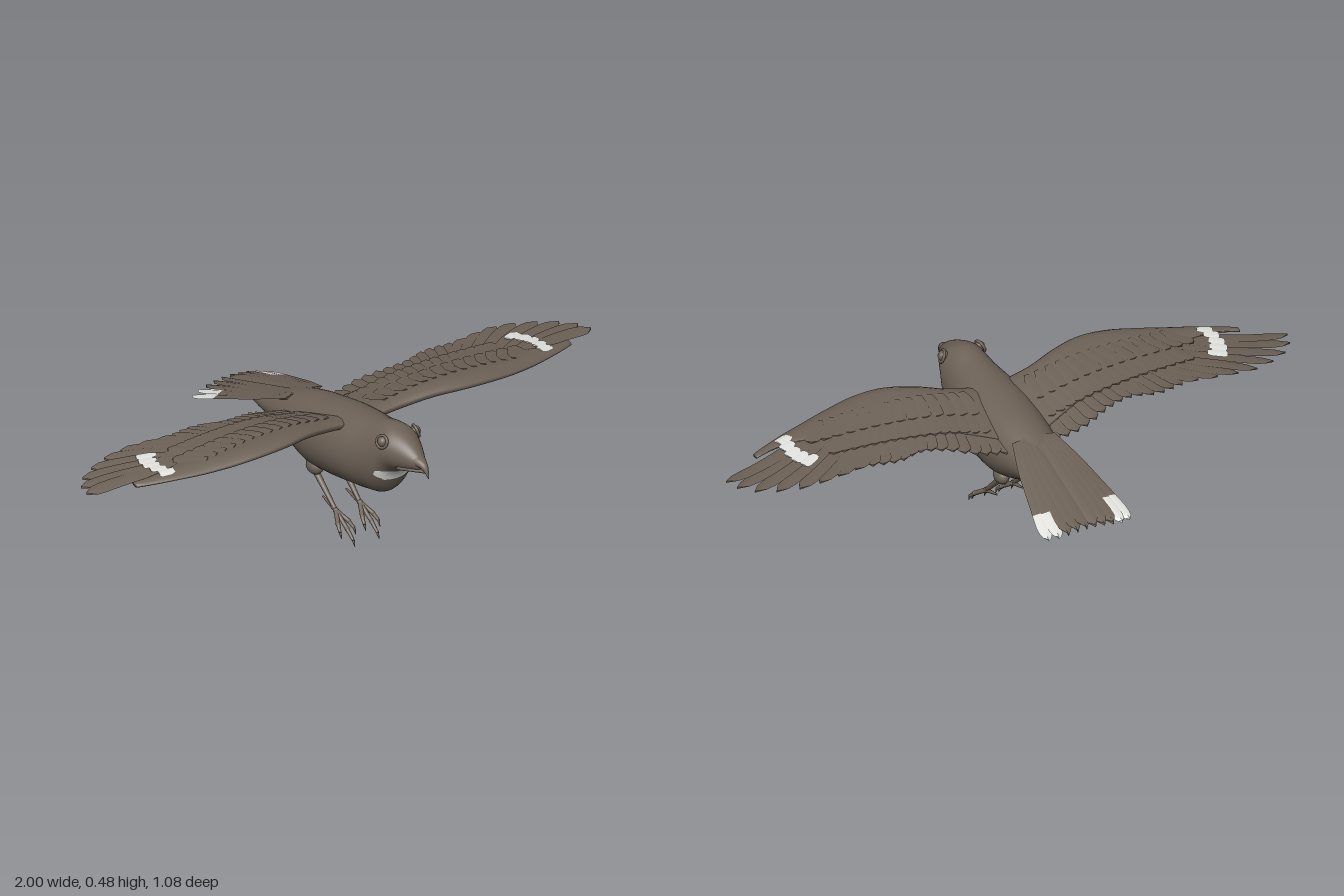
import * as THREE from 'three';
import { mergeGeometries, toCreasedNormals } from 'three/addons/utils/BufferGeometryUtils.js';

const V = (x, y, z) => new THREE.Vector3(x, y, z);
const lerp = THREE.MathUtils.lerp;

// Smooth table lookup: rows are [position, ...values], positions ascending
function table(rows) {
  const size = rows[0].length - 1;
  const interp = new THREE.CubicInterpolant(rows.map(r => r[0]), rows.flatMap(r => r.slice(1)), size);
  return p => [...interp.evaluate(p)];
}

// Closed skin through rings of points, both ends capped
function loft(rings) {
  const n = rings[0].length;
  const cap = ring => {
    const c = V(0, 0, 0);
    ring.forEach(p => c.addScaledVector(p, 1 / n));
    return ring.map(() => c);
  };
  const all = [cap(rings[0]), ...rings, cap(rings[rings.length - 1])];
  const index = [];
  for (let k = 0; k < all.length - 1; k++) {
    for (let i = 0; i < n; i++) {
      const j = (i + 1) % n, a = k * n, b = a + n;
      index.push(a + i, b + i, b + j, a + i, b + j, a + j);
    }
  }
  const g = new THREE.BufferGeometry().setFromPoints(all.flat());
  g.setIndex(index);
  g.computeVertexNormals();
  return g;
}

// Elliptical sections along z, from front to back
function lathedAlongZ(section, z0, z1, steps, sides = 32) {
  const rings = [];
  for (let k = 0; k <= steps; k++) {
    const z = lerp(z0, z1, k / steps), [top, bottom, half] = section(z);
    rings.push(Array.from({ length: sides }, (_, i) => {
      const a = i / sides * Math.PI * 2;
      return V(Math.cos(a) * half, (top + bottom) / 2 + Math.sin(a) * (top - bottom) / 2, z);
    }));
  }
  return loft(rings);
}

// A thin blade laid over a height field; [t0, t1] picks a stretch of its length
function feather(height, root, tip, width, { bend = 0, lift = 0, t0 = 0, t1 = 1, tilt = 0.003, thick = 0.003 } = {}) {
  const a = V(root[0], 0, root[1]), b = V(tip[0], 0, tip[1]), up = V(0, 1, 0);
  const out = b.clone().sub(a).normalize().cross(up);
  const mid = a.clone().add(b).multiplyScalar(0.5).addScaledVector(out, bend * 2);
  const curve = new THREE.QuadraticBezierCurve3(a, mid, b);
  const rings = [];
  for (let k = 0; k <= 14; k++) {
    const t = lerp(t0, t1, k / 14), p = curve.getPoint(t);
    const side = curve.getTangent(t).cross(up);
    const round = t > 0.84 ? Math.sqrt(Math.max(0.002, 1 - ((t - 0.84) / 0.16) ** 2)) : 1;
    const w = width / 2 * Math.min(1, 0.55 + 1.5 * t) * round;
    const at = (s, dy) => {
      const q = p.clone().addScaledVector(side, s * w);
      q.y = height(q.x, q.z) + lift + dy;
      return q;
    };
    rings.push([at(1, tilt), at(0, thick), at(-1, -tilt), at(0, -thick)]);
  }
  return toCreasedNormals(loft(rings), 0.6);
}

// Tapered rod between two points
function rod(a, b, r0, r1) {
  const d = b.clone().sub(a);
  const g = new THREE.CylinderGeometry(r1, r0, d.length(), 10);
  g.applyQuaternion(new THREE.Quaternion().setFromUnitVectors(V(0, 1, 0), d.clone().normalize()));
  return g.translate((a.x + b.x) / 2, (a.y + b.y) / 2, (a.z + b.z) / 2);
}

export function createModel() {
  const brown = new THREE.MeshStandardMaterial({ name: 'brown plumage', color: 0x6c6156, side: THREE.DoubleSide });
  const white = new THREE.MeshStandardMaterial({ name: 'white markings', color: 0xe2e2de, side: THREE.DoubleSide });
  const model = new THREE.Group();
  const add = (parent, name, geo, mat = brown) => {
    const m = new THREE.Mesh(Array.isArray(geo) ? mergeGeometries(geo) : geo, mat);
    m.name = name;
    parent.add(m);
    return m;
  };

  // Body and head: z, top, bottom, half width
  const body = table([
    [-0.40, 0.328, 0.302, 0.03], [-0.30, 0.356, 0.288, 0.06], [-0.17, 0.402, 0.265, 0.087],
    [-0.06, 0.432, 0.22, 0.11], [0, 0.442, 0.204, 0.12], [0.1, 0.456, 0.207, 0.125],
    [0.2, 0.465, 0.215, 0.118], [0.28, 0.474, 0.222, 0.1], [0.33, 0.484, 0.235, 0.09],
    [0.355, 0.486, 0.265, 0.085], [0.372, 0.483, 0.31, 0.08], [0.39, 0.478, 0.333, 0.074],
    [0.43, 0.462, 0.348, 0.056], [0.47, 0.438, 0.362, 0.036], [0.5, 0.413, 0.376, 0.018]]);
  add(model, 'body', lathedAlongZ(body, 0.5, -0.4, 110, 40));

  // Hooked beak
  const upper = table([[0.46, 0.43, 0.385, 0.03], [0.49, 0.42, 0.385, 0.024], [0.515, 0.408, 0.382, 0.014],
    [0.53, 0.393, 0.37, 0.008], [0.54, 0.364, 0.358, 0.002]]);
  add(model, 'upperBeak', lathedAlongZ(upper, 0.54, 0.46, 16, 16));
  const lower = table([[0.43, 0.382, 0.352, 0.05], [0.48, 0.38, 0.363, 0.028], [0.522, 0.377, 0.371, 0.006]]);
  add(model, 'lowerBeak', lathedAlongZ(lower, 0.522, 0.43, 10, 16));

  // White throat crescent pressed onto the breast
  const onBreast = (x, y) => {
    for (let z = 0.4; z > 0.25; z -= 0.001) {
      const [t, b, h] = body(z);
      if ((x / h) ** 2 + ((y - (t + b) / 2) / ((t - b) / 2)) ** 2 < 1) return z;
    }
    return 0.25;
  };
  const throat = new THREE.PlaneGeometry(2, 1, 20, 5);
  const tp = throat.attributes.position;
  for (let i = 0; i < tp.count; i++) {
    const u = tp.getX(i), v = tp.getY(i), x = u * 0.08;
    const y = 0.311 + 0.02 * u * u + v * 0.038 * (1 - 0.6 * u ** 4);
    tp.setXYZ(i, x, y, onBreast(x, y) + 0.004);
  }
  throat.computeVertexNormals();
  add(model, 'throatPatch', throat, white);

  // Fanned tail with white corners
  const tailY = (x, z) => 0.378 + 0.275 * (z + 0.24) - 0.9 * x * x;
  const tailBrown = [], tailWhite = [];
  for (let i = 0; i < 10; i++) {
    const f = (i - 4.5) / 4.5, outer = Math.abs(f) > 0.7;
    const root = [f * 0.062, -0.13], tip = [f * 0.145, -0.54 + 0.018 * f ** 4];
    const lift = -0.006 * Math.abs(f), tilt = 0.004 * Math.sign(f);
    tailBrown.push(feather(tailY, root, tip, 0.05, { lift, tilt, t1: outer ? 0.74 : 1, thick: 0.005 }));
    if (outer) tailWhite.push(feather(tailY, root, tip, 0.05, { lift, tilt, t0: 0.74, thick: 0.005 }));
  }
  add(model, 'tailFeathers', tailBrown);
  add(model, 'tailCorners', tailWhite, white);

  // Wing plan: x, leading z, rear z of the arm, ridge height, thickness
  const plan = table([[0.04, 0.19, -0.08, 0.45, 0.05], [0.15, 0.205, -0.04, 0.467, 0.05],
    [0.25, 0.235, -0.01, 0.486, 0.046], [0.35, 0.262, 0.02, 0.492, 0.04], [0.45, 0.264, 0.05, 0.487, 0.034],
    [0.55, 0.248, 0.08, 0.475, 0.027], [0.65, 0.222, 0.11, 0.461, 0.02], [0.75, 0.19, 0.13, 0.45, 0.013],
    [0.85, 0.15, 0.12, 0.438, 0.008], [1, 0.07, 0.06, 0.418, 0.004]]);
  const wingY = (x, z) => {
    const [lead, , ridge] = plan(Math.min(x, 1));
    const u = Math.max(0, lead - z);
    const slope = lerp(0.27, 0.07, THREE.MathUtils.clamp((x - 0.1) / 0.6, 0, 1));
    return ridge - slope * u - 0.02 * Math.max(0, 1 - u / 0.06) ** 2 * Math.min(1, (1.05 - x) * 2);
  };

  const wing = new THREE.Group();
  wing.name = 'leftWing';

  // Wing arm
  const armRings = [];
  for (let k = 0; k <= 40; k++) {
    const x = lerp(0.04, 0.86, k / 40), [lead, rear, , thick] = plan(x);
    armRings.push(Array.from({ length: 20 }, (_, i) => {
      const a = i / 20 * Math.PI * 2, z = lerp(rear, lead, 0.5 + 0.5 * Math.cos(a));
      const under = Math.sin(a) < 0 ? thick * Math.sin(a) : 0.006 * Math.sin(a);
      return V(x, wingY(x, z) + under - 0.002, z);
    }));
  }
  add(wing, 'wingArm', loft(armRings));

  // Long outer flight feathers
  const tips = [[1, 0.06], [0.985, 0.012], [0.945, -0.035], [0.885, -0.07], [0.815, -0.095],
    [0.745, -0.1], [0.675, -0.094], [0.61, -0.085]];
  add(wing, 'primaries', tips.map((tip, i) => {
    const f = i / (tips.length - 1);
    return feather(wingY, [lerp(0.6, 0.45, f), lerp(0.19, 0.11, f)], tip, 0.056,
      { bend: lerp(-0.03, -0.015, f), lift: -0.006, tilt: -0.004 });
  }));

  // Inner flight feathers
  const rearEdge = table([[0.08, -0.122], [0.2, -0.12], [0.3, -0.088], [0.38, -0.078], [0.46, -0.1], [0.56, -0.088]]);
  add(wing, 'secondaries', Array.from({ length: 14 }, (_, i) => {
    const x = lerp(0.09, 0.55, i / 13);
    return feather(wingY, [lerp(0.08, 0.46, i / 13), 0.1], [x, rearEdge(x)[0]], 0.05, { lift: -0.006, tilt: -0.004 });
  }));

  // Two overlapping rows of covert feathers
  const coverts = [];
  for (const [count, rootZ, tipZ, x1, lift] of [[16, 0.1, -0.035, 0.62, 0.001], [14, 0.15, 0.045, 0.66, 0.004]]) {
    for (let i = 0; i < count; i++) {
      const f = i / (count - 1), x = lerp(0.12, x1, f);
      coverts.push(feather(wingY, [x - 0.05 * f, rootZ + 0.03 * f], [x + 0.02 * f, tipZ + 0.045 * f], 0.052,
        { lift, tilt: -0.003 }));
    }
  }
  add(wing, 'coverts', coverts);

  // White bar across the outer feathers: inner x, outer x, z
  const bar = [[0.722, 0.775, 0.15], [0.728, 0.78, 0.113], [0.727, 0.78, 0.075], [0.715, 0.772, 0.042], [0.693, 0.757, 0.01]];
  add(wing, 'wingBar', bar.map(([x0, x1, z], i) => feather(wingY, [x0, z + 0.008 + i * 0.002], [x1, z - 0.008 - i * 0.002],
    0.04, { lift: 0.005, tilt: 0, thick: 0.003, t0: 0.05, t1: 0.97 })), white);
  model.add(wing);

  // Eye, leg and foot of one side
  const side = new THREE.Group();
  side.name = 'leftEyeAndLeg';
  add(side, 'eye', new THREE.SphereGeometry(0.018, 20, 14).translate(0.064, 0.448, 0.382));
  const lid = add(side, 'eyeRing', new THREE.TorusGeometry(0.02, 0.005, 8, 24));
  lid.position.set(0.068, 0.448, 0.382);
  lid.rotation.set(-0.35, 1.3, 0, 'YXZ');

  const hip = V(0.05, 0.2, -0.005), ankle = V(0.048, 0.092, 0.11);
  const thigh = new THREE.SphereGeometry(0.03, 18, 12).scale(0.8, 0.95, 1.2).translate(0.05, 0.208, 0.0);
  add(side, 'thigh', [thigh, rod(V(0.05, 0.2, -0.01), V(0.05, 0.187, -0.028), 0.009, 0.002)]);
  add(side, 'shank', [rod(hip, ankle, 0.012, 0.007), new THREE.SphereGeometry(0.01, 12, 8).translate(ankle.x, ankle.y, ankle.z)]);
  const toes = [rod(ankle, V(0.046, 0.113, 0.038), 0.008, 0.003)];
  for (const [dx, y, z] of [[-0.028, 0.045, 0.17], [0, 0.022, 0.203], [0.028, 0.045, 0.17]]) {
    const knuckle = V(0.048 + dx * 0.75, lerp(ankle.y, y, 0.6), lerp(ankle.z, z, 0.6) + 0.004);
    const end = V(0.048 + dx, y, z);
    toes.push(rod(ankle, knuckle, 0.008, 0.007), new THREE.SphereGeometry(0.008, 10, 8).translate(...knuckle.toArray()),
      rod(knuckle, end, 0.007, 0.005), rod(end, V(end.x, y - 0.02, z + 0.009), 0.005, 0.001));
  }
  add(side, 'toes', toes);
  model.add(side);

  // Mirror to the other side
  for (const part of [wing, side]) {
    const copy = part.clone();
    copy.name = part.name.replace('left', 'right');
    copy.scale.x = -1;
    model.add(copy);
  }
  return model;
}
